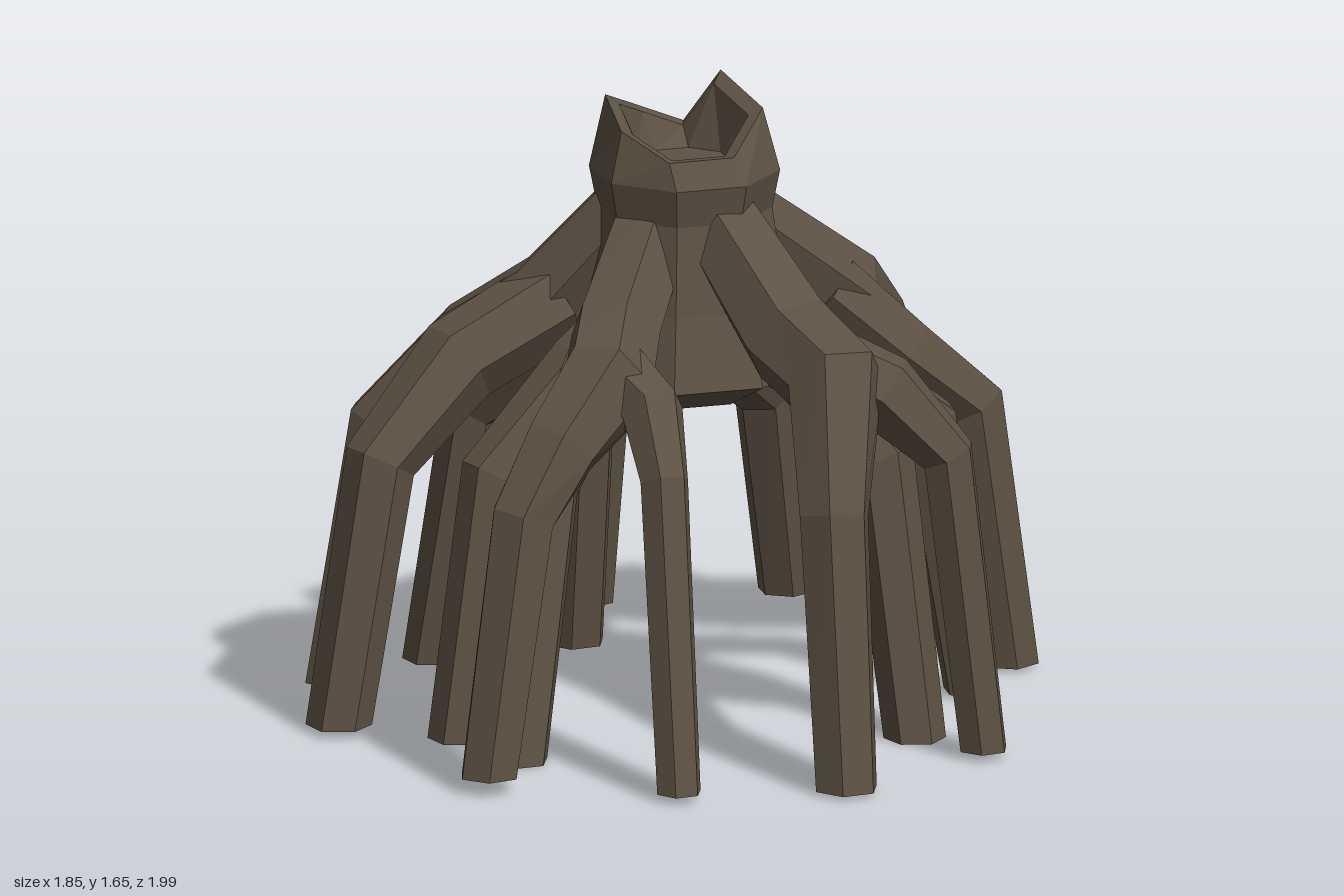
import * as THREE from 'three';

const bark = new THREE.MeshStandardMaterial({ color: 0x5e5244 });
bark.name = 'bark';
bark.flatShading = true;

// Join rings of points (each listed the same way round) into a faceted skin with capped ends.
function skin(rings) {
  const pos = [];
  const tri = (a, b, c) => [a, b, c].forEach(p => pos.push(p.x, p.y, p.z));
  const cap = (ring, flip) => {
    const mid = ring.reduce((s, p) => s.add(p), new THREE.Vector3()).divideScalar(ring.length);
    ring.forEach((p, i) => {
      const q = ring[(i + 1) % ring.length];
      if (flip) tri(mid, q, p); else tri(mid, p, q);
    });
  };
  for (let r = 0; r + 1 < rings.length; r++) {
    const A = rings[r], B = rings[r + 1], n = A.length;
    for (let i = 0; i < n; i++) {
      const j = (i + 1) % n;
      tri(A[i], A[j], B[j]);
      tri(A[i], B[j], B[i]);
    }
  }
  cap(rings[0], true);
  cap(rings[rings.length - 1], false);
  const g = new THREE.BufferGeometry();
  g.setAttribute('position', new THREE.Float32BufferAttribute(pos, 3));
  g.computeVertexNormals();
  return g;
}

// Six-sided tapering root through points [x, y, z, radius], mitred at bends and ending in a level foot.
function rootGeometry(points) {
  const P = points.map(p => new THREE.Vector3(p[0], p[1], p[2]));
  const last = P.length - 1;
  const side = new THREE.Vector3(P[last].z - P[0].z, 0, P[0].x - P[last].x).normalize();
  const rings = P.map((p, i) => {
    const t = new THREE.Vector3();
    if (i > 0) t.add(P[i].clone().sub(P[i - 1]).normalize());
    if (i < last) t.add(P[i + 1].clone().sub(P[i]).normalize());
    const mitre = i > 0 && i < last ? 2 / t.length() : 1;
    if (i === last) t.set(0, -1, 0);
    t.normalize();
    const u = side.clone().addScaledVector(t, -side.dot(t)).normalize();
    const v = t.clone().cross(u);
    return Array.from({ length: 6 }, (_, k) => {
      const a = k * Math.PI / 3, r = points[i][3];
      return p.clone().addScaledVector(u, r * Math.cos(a)).addScaledVector(v, r * mitre * Math.sin(a));
    });
  });
  return skin(rings);
}

// Eight-sided level ring about the trunk axis.
function trunkRing(r, y, cx = 0.05, cz = 0.05) {
  return Array.from({ length: 8 }, (_, k) => {
    const a = -k * Math.PI / 4;
    return new THREE.Vector3(cx + r * Math.cos(a), y, cz + r * Math.sin(a));
  });
}

// Broken rim of the stump, from the left side round by the back
const RIM = [[0.25, 1.59, 0.04], [0.13, 1.65, -0.1], [0.03, 1.5, -0.15], [-0.09, 1.56, -0.08],
  [-0.15, 1.63, 0.09], [-0.1, 1.56, 0.19], [0.03, 1.5, 0.27], [0.19, 1.5, 0.2]].map(p => new THREE.Vector3(...p));

const ROOTS = {
  backRoot: [[0.05, 1.36, -0.02, 0.12], [0.055, 1.05, -0.3, 0.12], [0.08, 0.82, -0.58, 0.125], [0.19, 0.62, -0.8, 0.09], [0.23, 0.05, -0.92, 0.075]],
  backRootBranch: [[0.05, 0.86, -0.54, 0.11], [-0.1, 0.76, -0.64, 0.075], [-0.21, 0.61, -0.76, 0.055], [-0.26, 0.03, -0.84, 0.055]],
  backLeftRoot: [[0.12, 1.32, -0.01, 0.11], [0.42, 1.02, -0.27, 0.125], [0.48, 0.87, -0.5, 0.105], [0.53, 0.7, -0.64, 0.085], [0.58, 0.03, -0.73, 0.08]],
  backLeftBranch: [[0.38, 1.04, -0.23, 0.12], [0.57, 0.87, -0.28, 0.105], [0.75, 0.71, -0.36, 0.085], [0.84, 0.01, -0.42, 0.08]],
  frontLeftRoot: [[0.12, 1.34, 0.1, 0.11], [0.35, 1.07, 0.37, 0.13], [0.48, 1.01, 0.56, 0.13], [0.49, 0.7, 0.73, 0.095], [0.53, 0.01, 0.83, 0.085]],
  frontLeftBranch: [[0.42, 1.04, 0.47, 0.11], [0.6, 0.97, 0.49, 0.1], [0.76, 0.8, 0.47, 0.07], [0.85, 0.02, 0.46, 0.065]],
  frontRoot: [[-0.01, 1.34, 0.1, 0.11], [-0.1, 1.07, 0.35, 0.12], [-0.1, 1.01, 0.6, 0.125], [-0.21, 0.87, 0.72, 0.105], [-0.3, 0.7, 0.8, 0.09], [-0.38, 0.04, 0.89, 0.08]],
  frontRootBranch: [[-0.1, 1.01, 0.54, 0.11], [0.02, 0.95, 0.67, 0.085], [0.06, 0.8, 0.79, 0.065], [0.11, 0.02, 0.94, 0.06]],
  rightRoot: [[-0.06, 1.34, 0.02, 0.11], [-0.3, 1.06, -0.01, 0.125], [-0.52, 0.94, -0.06, 0.095], [-0.74, 0.71, -0.07, 0.085], [-0.86, 0.02, -0.06, 0.075]],
  rightRootBranch: [[-0.28, 1.06, 0.01, 0.12], [-0.52, 0.93, 0.13, 0.115], [-0.71, 0.7, 0.29, 0.09], [-0.81, 0.02, 0.36, 0.085]],
  innerLeftRearRoot: [[0.1, 1.08, 0.06, 0.12], [0.36, 0.96, 0.07, 0.11], [0.66, 0.73, -0.09, 0.08], [0.77, 0.01, -0.14, 0.075]],
  innerLeftFrontRoot: [[0.1, 1.08, 0.07, 0.12], [0.36, 0.95, 0.14, 0.1], [0.57, 0.72, 0.24, 0.085], [0.66, 0.0, 0.29, 0.08]],
  innerFrontRoot: [[0.0, 1.06, 0.08, 0.12], [-0.16, 0.93, 0.26, 0.1], [-0.26, 0.7, 0.48, 0.08], [-0.33, 0.0, 0.6, 0.08]],
  innerRightFrontRoot: [[-0.02, 1.06, 0.05, 0.12], [-0.2, 0.92, 0.17, 0.1], [-0.42, 0.68, 0.32, 0.08], [-0.5, 0.0, 0.39, 0.08]],
  innerRightRearRoot: [[-0.02, 1.1, -0.02, 0.11], [-0.23, 0.94, -0.17, 0.1], [-0.52, 0.7, -0.28, 0.08], [-0.63, 0.01, -0.33, 0.075]],
  innerBackRoot: [[0.0, 1.08, -0.03, 0.11], [-0.15, 0.93, -0.21, 0.1], [-0.24, 0.7, -0.42, 0.08], [-0.28, 0.01, -0.52, 0.08]],
};

export function createModel() {
  const model = new THREE.Group();
  model.name = 'rootedStump';
  const add = (name, geometry) => {
    const mesh = new THREE.Mesh(geometry, bark);
    mesh.name = name;
    model.add(mesh);
  };

  // Trunk: underside, wide base between the roots, neck, collar, broken rim and hollow in one skin
  const rimCentre = new THREE.Vector3(0.045, 1.48, 0.05);
  add('hollowTrunk', skin([
    trunkRing(0.18, 0.84),
    trunkRing(0.31, 0.91),
    trunkRing(0.26, 1.1),
    trunkRing(0.225, 1.33),
    trunkRing(0.245, 1.43),
    RIM,
    RIM.map(p => p.clone().lerp(rimCentre, 0.18)),
    trunkRing(0.12, 1.45),
  ]));

  // Arching prop roots
  for (const [name, points] of Object.entries(ROOTS)) add(name, rootGeometry(points));
  return model;
}
